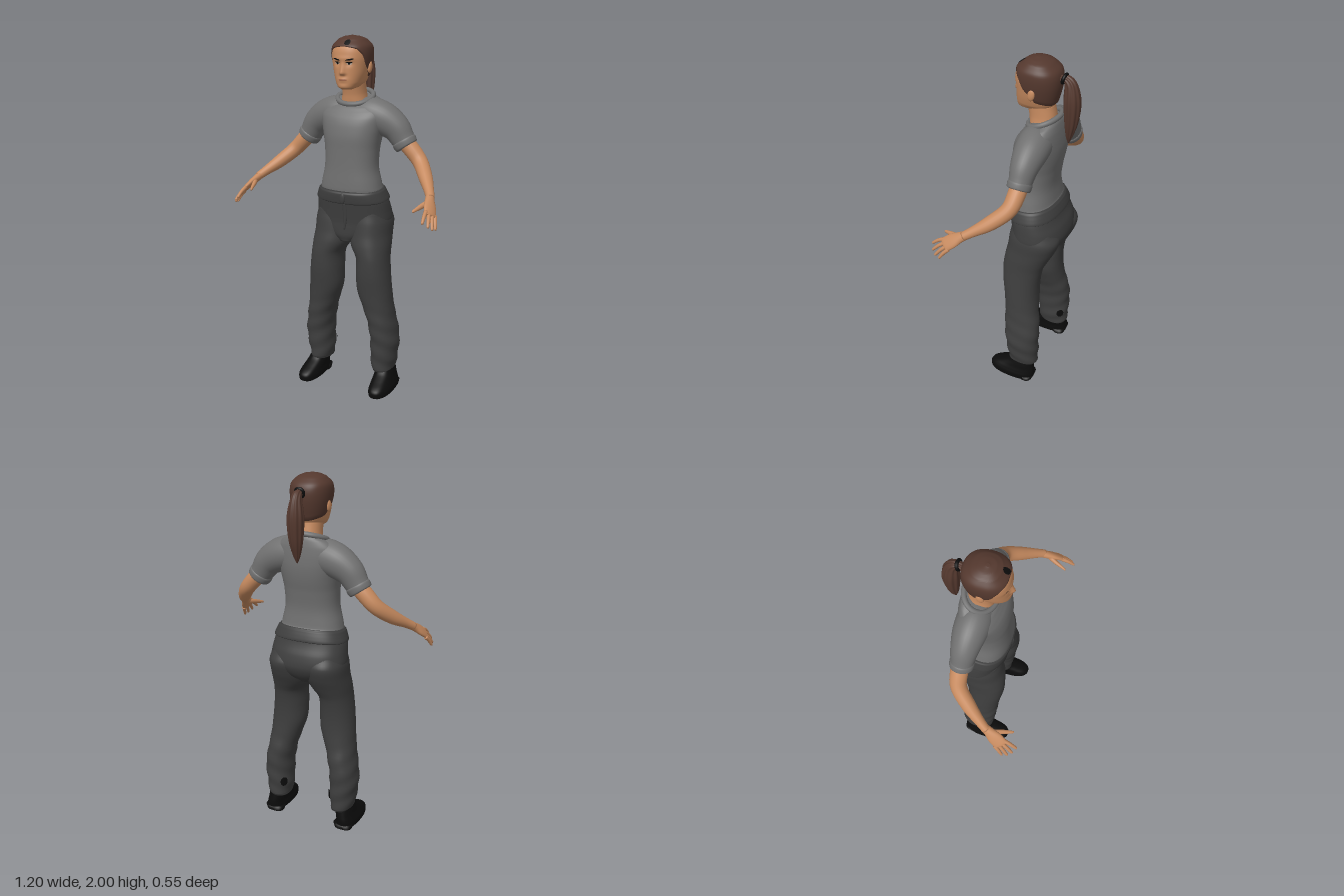
import * as THREE from 'three';

const V = (x, y, z) => new THREE.Vector3(x, y, z);
const gauss = (d, s) => Math.exp(-(d * d) / (s * s));
const clamp = THREE.MathUtils.clamp, sstep = THREE.MathUtils.smoothstep;
const spow = (v, p) => Math.sign(v) * Math.abs(v) ** p;

// Smooth interpolation between rows of numbers
function blend(rows, i, t) {
  const r = k => rows[clamp(k, 0, rows.length - 1)];
  return rows[i].map((_, k) => {
    const [a, b, c, d] = [r(i - 1)[k], r(i)[k], r(i + 1)[k], r(i + 2)[k]];
    return b + 0.5 * t * (c - a + t * (2 * a - 5 * b + 4 * c - d + t * (3 * (b - c) + d - a)));
  });
}
function resample(rows, K, linearFirst) {
  const out = [];
  for (let i = 0; i < rows.length - 1; i++) for (let k = 0; k < K; k++) {
    const r = blend(rows, i, k / K);
    if (linearFirst) r[0] = rows[i][0] + (rows[i + 1][0] - rows[i][0]) * k / K;
    out.push(r);
  }
  out.push(rows.at(-1));
  return out;
}

// Skin over closed rings, with optional end caps
function loft(rings, caps = true) {
  const n = rings[0].length, pos = [], idx = [];
  rings.forEach(r => r.forEach(p => pos.push(p.x, p.y, p.z)));
  for (let i = 0; i < rings.length - 1; i++) for (let j = 0; j < n; j++) {
    const a = i * n + j, b = i * n + (j + 1) % n;
    idx.push(a, b, b + n, a, b + n, a + n);
  }
  if (caps) [0, rings.length - 1].forEach((ri, end) => {
    const c = rings[ri].reduce((s, p) => s.add(p), V(0, 0, 0)).divideScalar(n), ci = pos.length / 3;
    pos.push(c.x, c.y, c.z);
    for (let j = 0; j < n; j++) {
      const a = ri * n + j, b = ri * n + (j + 1) % n;
      end ? idx.push(ci, a, b) : idx.push(ci, b, a);
    }
  });
  return build(pos, idx);
}
function build(pos, idx) {
  const g = new THREE.BufferGeometry();
  g.setAttribute('position', new THREE.Float32BufferAttribute(pos, 3));
  g.setIndex(idx);
  g.computeVertexNormals();
  return g;
}

// Horizontal cross-sections: [y, centre x, half width, front z, back z], rising in y
function onSection([y, cx, w, zf, zb], th, n, off = 0) {
  const p = 2 / n;
  return V(cx + (w + off) * spow(Math.sin(th), p), y, (zf + zb) / 2 + ((zf - zb) / 2 + off) * spow(Math.cos(th), p));
}
function rowAt(rows, y) {
  let i = 0;
  while (i < rows.length - 2 && y > rows[i + 1][0]) i++;
  const r = blend(rows, i, clamp((y - rows[i][0]) / (rows[i + 1][0] - rows[i][0]), 0, 1));
  r[0] = y;
  return r;
}
function stack(rows, { n = 2.2, seg = 48, K = 5, warp = p => p, caps = true } = {}) {
  return loft(resample(rows, K, true).map(r =>
    Array.from({ length: seg }, (_, j) => warp(onSection(r, j / seg * 2 * Math.PI, n), j / seg * 2 * Math.PI))), caps);
}

// Limb along a path: [x, y, z, radius along ref, radius across]
function limb(points, { ref = V(0, 0, 1), seg = 20, K = 6, ridge = 0 } = {}) {
  const rows = resample(points, K), c = rows.map(r => V(r[0], r[1], r[2]));
  return loft(rows.map((r, i) => {
    const T = c[Math.min(i + 1, c.length - 1)].clone().sub(c[Math.max(i - 1, 0)]).normalize();
    const N = ref.clone().addScaledVector(T, -ref.dot(T)).normalize(), B = T.clone().cross(N);
    return Array.from({ length: seg }, (_, j) => {
      const a = j / seg * 2 * Math.PI, k = 1 + ridge * Math.cos(9 * a);
      return c[i].clone().addScaledVector(N, r[3] * k * Math.cos(a)).addScaledVector(B, r[4] * k * Math.sin(a));
    });
  }));
}

// Thin lens-shaped patch laid on a surface f(u, v), u and v in -1..1
function patch(f, m = 12, q = 4) {
  const pos = [], idx = [];
  for (let i = 0; i <= m; i++) for (let j = 0; j <= q; j++) {
    const u = i / m * 2 - 1, p = f(u, (j / q * 2 - 1) * Math.sqrt(1 - u * u));
    pos.push(p.x, p.y, p.z);
    if (i < m && j < q) {
      const a = i * (q + 1) + j, b = a + q + 1;
      idx.push(a, b, b + 1, a, b + 1, a + 1);
    }
  }
  return build(pos, idx);
}

const HEAD = [[1.725, 0, .03, .045, -.03], [1.735, 0, .052, .06, -.09], [1.76, 0, .071, .063, -.138], [1.8, 0, .085, .062, -.152],
  [1.84, 0, .094, .062, -.162], [1.88, 0, .1, .064, -.168], [1.92, 0, .101, .061, -.167], [1.95, 0, .094, .048, -.155],
  [1.98, 0, .066, .012, -.118], [1.992, 0, .036, -.015, -.085], [1.997, 0, .004, -.045, -.053]];
const HN = 2.3;

// Relief of nose, brow, eye sockets, lips and chin
function face(x, y) {
  const t = (1.877 - y) / .067, nose = t < 0 ? 0 : t < 1 ? t : 1 - sstep(t, 1, 1.2);
  return .023 * nose * gauss(x, .009 + .006 * clamp(t, 0, 1)) + .004 * gauss(y - 1.885, .012) * gauss(x, .06)
    - .007 * gauss(Math.abs(x) - .034, .02) * gauss(y - 1.86, .014)
    + .006 * gauss(y - 1.777, .011) * gauss(x, .025) + .003 * gauss(y - 1.742, .014) * gauss(x, .025);
}
function faceZ(x, y) {
  const [, , w, zf, zb] = rowAt(HEAD, y);
  return (zf + zb) / 2 + (zf - zb) / 2 * (1 - Math.min(1, Math.abs(x / w)) ** HN) ** (1 / HN) + face(x, y);
}
const facePatch = (x0, y0, w, h, tilt = 0, off = .002) => patch((u, v) => {
  const x = x0 + u * w, y = y0 + v * h + tilt * u;
  return V(x, y, faceZ(x, y) + off);
});

export function createModel() {
  const model = new THREE.Group();
  const mat = (name, color) => Object.assign(new THREE.MeshStandardMaterial({ color }), { name });
  const skin = mat('skin', 0xc68a5f), hair = mat('hair brown', 0x54382e), shirt = mat('shirt grey', 0x707070);
  const trouser = mat('trouser charcoal', 0x3e3e3e), black = mat('black', 0x0c0c0c), lip = mat('lip', 0xa3684a);
  const white = mat('eye white', 0xb9a596);
  const add = (name, geo, m) => {
    const mesh = new THREE.Mesh(geo, m);
    mesh.name = name;
    model.add(mesh);
  };
  const pair = (name, geo, m) => {
    add(name + 'Left', geo, m);
    const g = geo.clone().scale(-1, 1, 1), ix = g.index.array;
    for (let i = 0; i < ix.length; i += 3) [ix[i], ix[i + 1]] = [ix[i + 1], ix[i]];
    add(name + 'Right', g, m);
  };

  // Head and neck
  add('head', stack(HEAD, { n: HN, seg: 120, K: 6, warp: (p, th) => {
    if (Math.cos(th) > 0) p.z += face(p.x, p.y);
    return p;
  } }), skin);
  add('neck', stack([[1.6, 0, .085, -.015, -.155], [1.66, 0, .07, -.01, -.152], [1.7, 0, .063, -.005, -.147], [1.765, 0, .062, .01, -.135]]), skin);
  pair('ear', new THREE.SphereGeometry(1, 16, 12).scale(.011, .032, .019).rotateX(-.2).translate(.099, 1.838, -.058), skin);

  // Facial details
  pair('eyeWhite', facePatch(.035, 1.861, .015, .006), white);
  pair('iris', facePatch(.034, 1.861, .006, .006, 0, .003), black);
  pair('eyelid', facePatch(.035, 1.867, .018, .003, .001, .003), black);
  pair('eyebrow', facePatch(.038, 1.882, .022, .004, .004), black);
  add('mouth', facePatch(0, 1.777, .025, .006), lip);

  // Hair cap down to the hairline
  const line = [[0, 1.945], [.7, 1.932], [1.05, 1.9], [1.3, 1.85], [1.5, 1.825], [1.75, 1.785], [Math.PI, 1.757]];
  const hairRings = Array.from({ length: 29 }, (_, i) => Array.from({ length: 72 }, (_, j) => {
    const th = j / 72 * 2 * Math.PI, low = rowAt(line, Math.min(th, 2 * Math.PI - th))[1], s = i / 28;
    const p = onSection(rowAt(HEAD, low + (1.997 - low) * (1 - (1 - s) ** 2)), th, HN, i ? .005 : -.003);
    p.y += .003 * s;
    return p;
  }));
  add('hair', loft(hairRings), hair);
  add('hairGap', patch((u, v) => onSection(rowAt(HEAD, 1.968 + .014 * v), .13 + .16 * u, HN, .008)), black);
  add('ponytail', limb([[0, 1.9, -.16, .02, .02], [0, 1.915, -.195, .02, .02], [0, 1.885, -.222, .028, .032], [0, 1.8, -.232, .042, .042],
    [0, 1.69, -.23, .036, .034], [0, 1.61, -.222, .02, .018], [0, 1.565, -.218, .003, .003]], { ref: V(1, 0, 0), seg: 54, ridge: .07 }), hair);
  add('hairTie', new THREE.TorusGeometry(.022, .009, 10, 24).rotateX(-.3).translate(0, 1.915, -.188), black);

  // Shirt
  add('shirtBody', stack([[1.165, 0, .176, .073, -.172], [1.2, 0, .172, .074, -.166], [1.3, 0, .151, .069, -.158], [1.4, 0, .152, .067, -.17],
    [1.47, 0, .163, .066, -.184], [1.53, 0, .177, .056, -.19], [1.58, 0, .188, .04, -.188], [1.62, 0, .182, .022, -.182],
    [1.65, 0, .145, .006, -.174], [1.672, 0, .098, -.012, -.163]], { n: 2.35, seg: 64, warp: (p, th) => {
    p.y -= .03 * Math.cos(th) * sstep(p.y, 1.54, 1.67) - .02 * gauss(p.y - 1.165, .03) * Math.max(0, -Math.cos(th));
    return p;
  } }), shirt);
  const neckline = Array.from({ length: 24 }, (_, i) => {
    const a = i / 24 * 2 * Math.PI;
    return V(.1 * Math.sin(a), 1.674 - .032 * Math.cos(a), -.087 + .08 * Math.cos(a));
  });
  add('collar', new THREE.TubeGeometry(new THREE.CatmullRomCurve3(neckline, true), 72, .014, 10, true), shirt);
  pair('sleeve', limb([[.05, 1.585, -.085, .085, .09], [.11, 1.58, -.088, .09, .095], [.175, 1.56, -.093, .085, .09], [.237, 1.52, -.096, .072, .078],
    [.275, 1.468, -.097, .061, .067], [.299, 1.43, -.097, .056, .061]], { seg: 32 }), shirt);
  pair('sleeveCuff', limb([[.281, 1.459, -.097, .058, .063], [.286, 1.451, -.097, .063, .068], [.299, 1.43, -.097, .061, .065], [.303, 1.424, -.097, .055, .058]], { seg: 32 }), shirt);

  // Arms and hands
  pair('arm', limb([[.26, 1.48, -.097, .046, .046], [.33, 1.41, -.1, .046, .045], [.388, 1.348, -.085, .042, .041], [.448, 1.285, -.015, .038, .036],
    [.495, 1.24, .055, .027, .026], [.522, 1.212, .1, .023, .022]]), skin);
  const across = V(.55, -.5, -.65).normalize();
  pair('palm', limb([[.512, 1.222, .08, .022, .021], [.525, 1.203, .115, .028, .02], [.541, 1.18, .15, .038, .017], [.556, 1.155, .185, .038, .013], [.561, 1.147, .195, .03, .008]], { ref: across }), skin);
  [[.549, 1.125, .272], [.574, 1.104, .257], [.589, 1.088, .235], [.595, 1.082, .207]].forEach((t, i) => {
    const a = V(.556, 1.155, .18).addScaledVector(across, (i - 1.5) * .02), b = V(...t), m = a.clone().lerp(b, .5);
    m.y += .005;
    const e = a.clone().lerp(b, .93);
    pair('finger' + (i + 1), limb([[...a, .011, .011], [...m, .0095, .0095], [...e, .007, .007], [...b, .002, .002]], { ref: across, seg: 10, K: 4 }), skin);
  });
  pair('thumb', limb([[.528, 1.198, .118, .017, .015], [.506, 1.187, .165, .014, .012], [.492, 1.177, .205, .01, .009], [.483, 1.17, .23, .007, .006], [.481, 1.168, .236, .002, .002]],
    { ref: across, seg: 12, K: 4 }), skin);

  // Trousers
  add('trouserSeat', stack([[.885, 0, .06, .045, -.15], [.92, 0, .13, .055, -.195], [.96, 0, .195, .056, -.222], [1.0, 0, .217, .056, -.233], [1.06, 0, .213, .062, -.222],
    [1.11, 0, .205, .068, -.2], [1.15, 0, .193, .074, -.188], [1.18, 0, .182, .076, -.176]], { n: 2.35, seg: 64 }), trouser);
  const raise = (p, th) => {
    p.y += .012 * (1 - Math.cos(th));
    return p;
  };
  add('waistband', stack([[1.108, 0, .203, .07, -.196], [1.113, 0, .209, .077, -.202], [1.14, 0, .2, .081, -.194], [1.165, 0, .189, .082, -.183], [1.175, 0, .18, .076, -.174]],
    { n: 2.35, seg: 64, warp: raise }), trouser);
  add('frontTab', new THREE.SphereGeometry(1, 14, 10).scale(.016, .03, .008).translate(.004, 1.14, .081), trouser);
  add('fly', limb([[.008, 1.115, .066, .012, .008], [.012, 1.05, .058, .014, .008], [.004, .96, .053, .006, .006]], { ref: V(1, 0, 0), seg: 12 }), trouser);
  const LEG = [[.115, .201, .06, .018, -.142], [.13, .202, .064, .024, -.15], [.2, .204, .073, .032, -.155], [.3, .208, .078, .04, -.157], [.4, .196, .077, .05, -.157],
    [.5, .174, .085, .055, -.138], [.6, .153, .097, .066, -.13], [.7, .146, .094, .078, -.133], [.8, .14, .09, .08, -.15], [.87, .118, .109, .074, -.183],
    [.93, .11, .112, .062, -.212], [1.0, .109, .111, .052, -.23], [1.06, .105, .1, .04, -.2]];
  pair('trouserLeg', stack(LEG, { seg: 48, warp: (p, th) => {
    const k = .003 * Math.sin(p.y * 60 + 2 * th) * (1 - sstep(p.y, .35, .6));
    p.x += k * Math.sin(th);
    p.z += k * Math.cos(th);
    return p;
  } }), trouser);
  pair('calfSpot', patch((u, v) => onSection(rowAt(LEG, .215 + .028 * v), -2.35 + .27 * u, 2.2, .006)), black);

  // Shoes
  pair('shoe', stack([[.004, .228, .05, .122, -.13], [.012, .228, .06, .135, -.14], [.04, .228, .062, .138, -.143], [.06, .226, .058, .122, -.143], [.085, .221, .054, .075, -.14],
    [.11, .217, .051, .03, -.136], [.14, .212, .048, .005, -.132]], { n: 2.4 }), black);
  pair('shoeHeel', stack([[0, .224, .05, -.06, -.135], [.03, .224, .056, -.055, -.145]], { n: 2.8, K: 1 }), black);
  return model;
}
